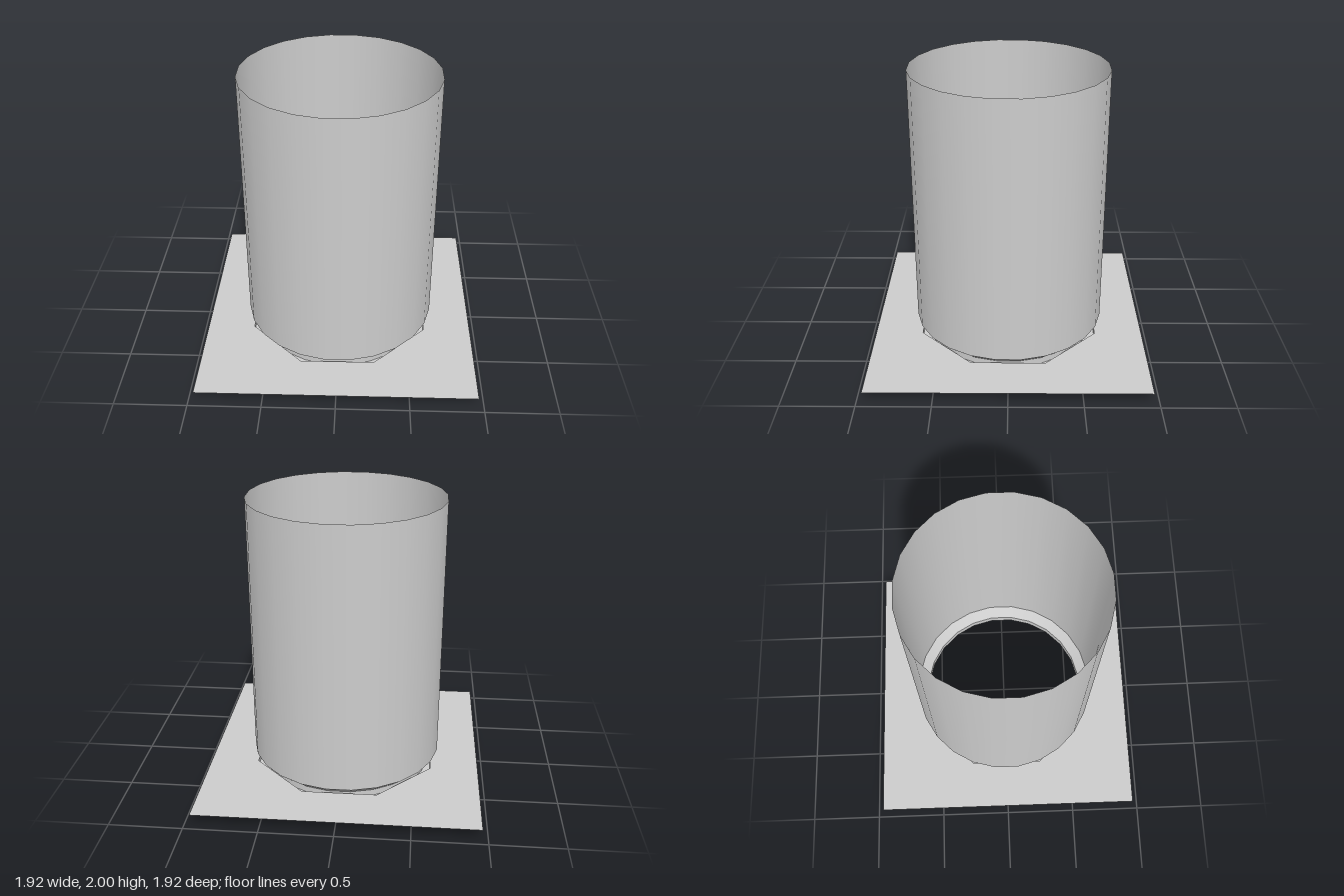
import * as THREE from 'three';

const SIDES = 24;
const OFFSET = Math.PI / SIDES; // puts a flat facet on each axis
const PLATE_Y = 0.08, FLOOR_Y = 0.035;
const OUTER = 0.673, BORE = 0.605;

const smooth = new THREE.MeshStandardMaterial({ color: 0xcccccc, side: THREE.DoubleSide });
const flat = new THREE.MeshStandardMaterial({ color: 0xcccccc, side: THREE.DoubleSide, flatShading: true });

function add(parent, name, geometry, material = flat) {
  const mesh = new THREE.Mesh(geometry, material);
  mesh.name = name;
  parent.add(mesh);
  return mesh;
}

// Open tube or cone wall between two heights
function wall(rTop, rBottom, yTop, yBottom, sides = SIDES) {
  return new THREE.CylinderGeometry(rTop, rBottom, yTop - yBottom, sides, 1, true, Math.PI / sides)
    .translate(0, (yTop + yBottom) / 2, 0);
}

function polygon(radius, sides) {
  return Array.from({ length: sides }, (_, i) => {
    const a = ((i + 0.5) / sides) * Math.PI * 2;
    return new THREE.Vector2(Math.cos(a) * radius, Math.sin(a) * radius);
  });
}

// Thin horizontal sheet with a hole, facing up
function sheet(outline, hole, y) {
  const shape = new THREE.Shape(outline);
  shape.holes.push(new THREE.Path(hole));
  return new THREE.ShapeGeometry(shape).rotateX(-Math.PI / 2).translate(0, y, 0);
}

// Flat-faced surface from a list of quads
function quads(list) {
  const positions = [];
  for (const [a, b, c, d] of list) positions.push(...a, ...b, ...c, ...a, ...c, ...d);
  const geometry = new THREE.BufferGeometry();
  geometry.setAttribute('position', new THREE.Float32BufferAttribute(positions, 3));
  geometry.computeVertexNormals();
  return geometry;
}

// Sloping gusset pointing along +z, under a plate corner
function gusset() {
  const base = OUTER * Math.cos(Math.PI / 8), half = OUTER * Math.sin(Math.PI / 8);
  const tip = 1.08, tipHalf = 0.05, top = PLATE_Y - 0.002;
  const [a, b] = [[-half, FLOOR_Y, base], [half, FLOOR_Y, base]];
  const [c, d] = [[tipHalf, top, tip], [-tipHalf, top, tip]];
  const [e, f] = [[-half, top, base], [half, top, base]];
  return quads([[a, d, c, b], [a, e, d, d], [b, c, f, f]]);
}

// Tapered foot, narrower at the bottom, centred on +z
function foot() {
  const geometry = new THREE.BoxGeometry(0.24, 0.022, 0.06);
  const p = geometry.attributes.position;
  for (let i = 0; i < p.count; i++) {
    if (p.getY(i) < 0) p.setXYZ(i, p.getX(i) * 0.7, p.getY(i), p.getZ(i) * 0.8);
  }
  geometry.translate(0, 0.011, 0.633);
  geometry.computeVertexNormals();
  return geometry;
}

export function createModel() {
  const group = new THREE.Group();
  group.name = 'pipeOnBasePlate';

  // Tall open tube with a tapered lower rim
  add(group, 'tube', wall(OUTER + 0.003, OUTER + 0.003, 2, 0.14), smooth);
  add(group, 'taperedRim', wall(OUTER + 0.003, BORE, 0.14, PLATE_Y), smooth);
  add(group, 'neck', wall(BORE, BORE, PLATE_Y, 0.02), smooth);

  // Square base plate around an octagonal well
  const s = 0.96;
  const square = [[-s, -s], [s, -s], [s, s], [-s, s]].map(([x, y]) => new THREE.Vector2(x, y));
  add(group, 'basePlate', sheet(square, polygon(OUTER, 8), PLATE_Y));
  add(group, 'wellWall', wall(OUTER, OUTER, PLATE_Y, FLOOR_Y, 8));
  add(group, 'wellFloor', sheet(polygon(OUTER, 8), polygon(BORE, SIDES), FLOOR_Y));

  // Collar below the well
  add(group, 'collarWall', wall(0.665, 0.655, FLOOR_Y, 0.02));
  add(group, 'collarBottom', sheet(polygon(0.655, SIDES), polygon(BORE, SIDES), 0.02));

  // Four gussets towards the plate corners
  const gussetGeometry = gusset();
  for (let i = 0; i < 4; i++) {
    add(group, 'gusset', gussetGeometry).rotation.y = Math.PI / 4 + (i * Math.PI) / 2;
  }

  // Eight feet around the collar
  const footGeometry = foot();
  for (let i = 0; i < 8; i++) {
    add(group, 'foot', footGeometry).rotation.y = (i * Math.PI) / 4;
  }
  return group;
}
